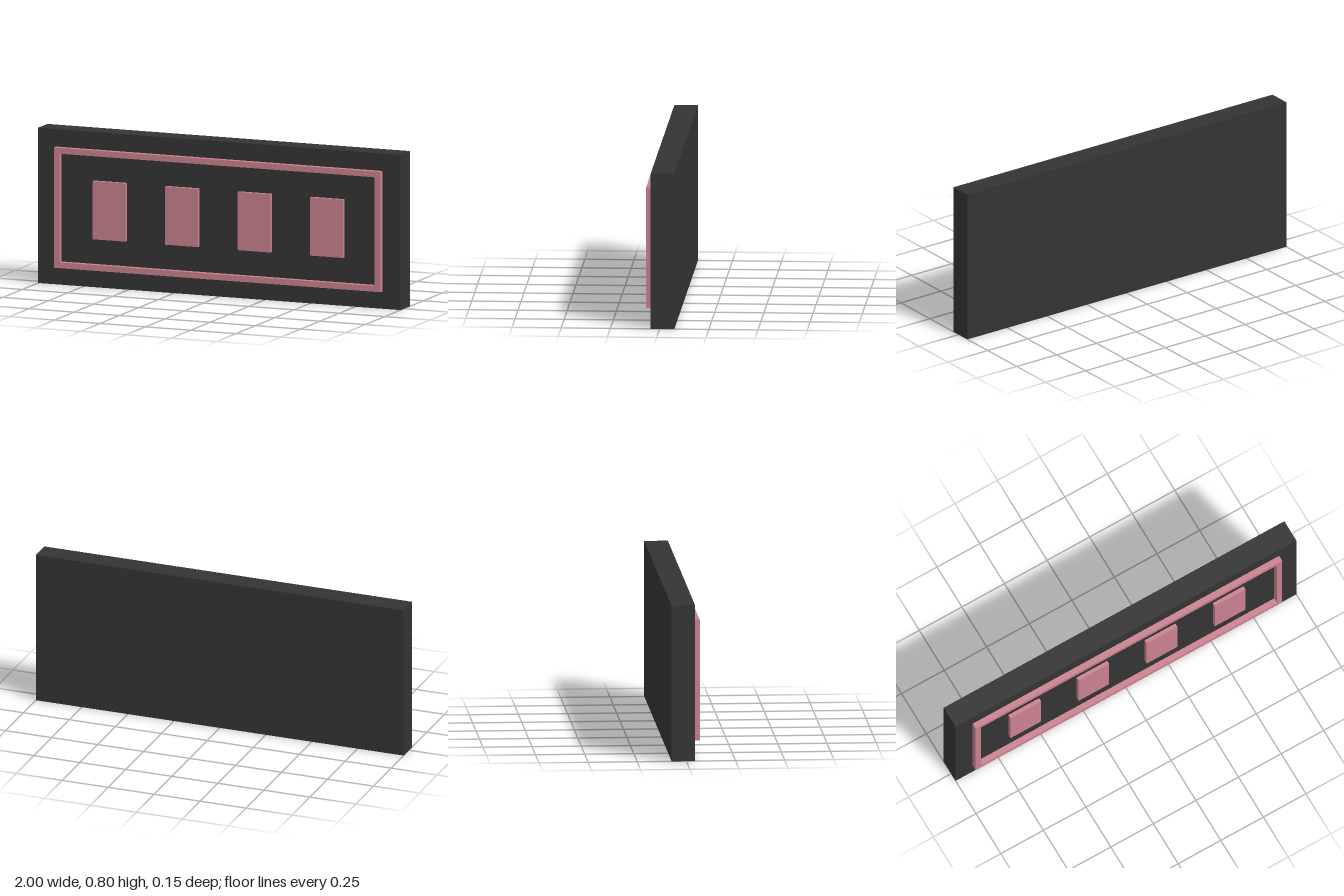
import * as THREE from 'three';

export function createModel() {
  const group = new THREE.Group();
  const charcoal = new THREE.MeshStandardMaterial({ color: 0x343434 });
  charcoal.name = 'charcoal';
  const pink = new THREE.MeshStandardMaterial({ color: 0xca8290 });
  pink.name = 'dustyPink';

  const add = (name, geometry, material, x, y, z) => {
    const mesh = new THREE.Mesh(geometry, material);
    mesh.name = name;
    mesh.position.set(x, y, z);
    group.add(mesh);
  };
  // Traces a centred rectangle on a shape or path
  const rect = (path, w, h) => path
    .moveTo(-w / 2, -h / 2).lineTo(w / 2, -h / 2)
    .lineTo(w / 2, h / 2).lineTo(-w / 2, h / 2).closePath();

  const midY = 0.4;
  const faceZ = 0.045;

  // Backing slab
  add('backPanel', new THREE.BoxGeometry(2, 0.8, 0.12), charcoal, 0, midY, -0.015);

  // Raised border, one ring with a rectangular opening
  const ring = rect(new THREE.Shape(), 1.8, 0.62);
  ring.holes.push(rect(new THREE.Path(), 1.74, 0.56));
  const border = new THREE.ExtrudeGeometry(ring, { depth: 0.03, bevelEnabled: false });
  add('border', border, pink, 0, midY, faceZ);

  // Row of four raised tiles
  const tile = new THREE.BoxGeometry(0.18, 0.3, 0.02);
  for (let i = 0; i < 4; i++) {
    add(`tile${i + 1}`, tile, pink, -0.6 + i * 0.4, midY, faceZ + 0.01);
  }

  return group;
}
